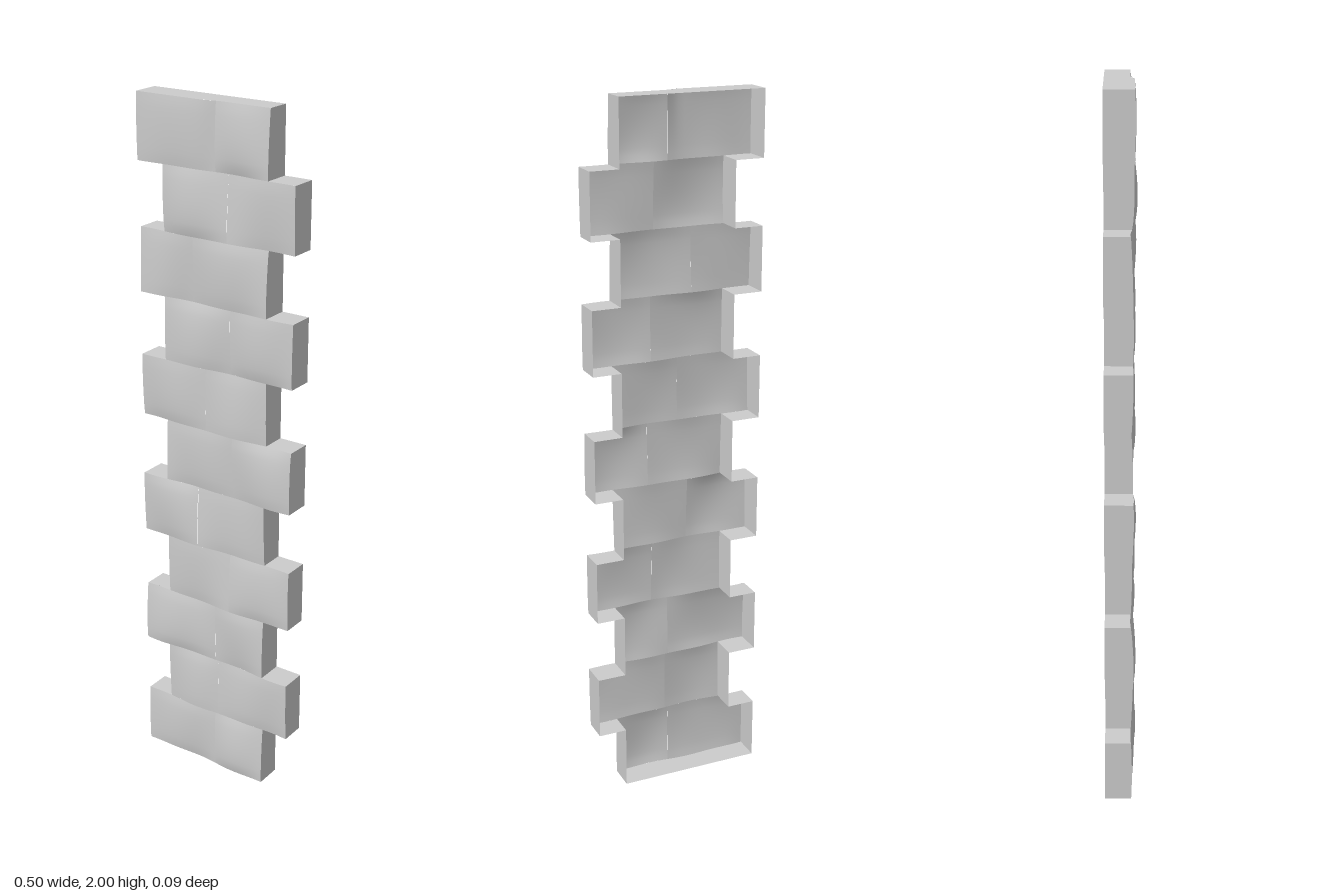
import * as THREE from 'three';

const ROWS = 11, H = 2 / ROWS;
const LONG = 0.248, SHORT = 0.166, BACK = -0.046;
// x of the joint between the two stones of each course, bottom to top
const JOINTS = [0, 0.01, 0.0, 0.05, -0.06, 0.06, -0.03, 0.05, -0.07, 0.04, 0];

const material = new THREE.MeshStandardMaterial({ color: 0xcccccc, side: THREE.DoubleSide });

// Height of the seam under course i, shared by both neighbouring courses
function seam(x, i) {
  if (i === ROWS) return 0.034 - 0.011 * THREE.MathUtils.smoothstep(x, -0.03, 0);
  return 0.029 + 0.004 * Math.sin(x * 14 + i * 2.3) + 0.002 * Math.sin(x * 33 + i * 4.1);
}

// Pillowed stone face between x0 and x1 in course i
function makeFace(x0, x1, i, k) {
  const g = new THREE.PlaneGeometry(1, 1, 14, 10);
  const p = g.attributes.position;
  const swell = 0.007 + 0.003 * Math.sin(i * 3.7 + k * 2.1);
  const tilt = 0.5 * Math.sin(i * 1.9 + k * 4.3);
  for (let n = 0; n < p.count; n++) {
    const u = p.getX(n) + 0.5, v = p.getY(n) + 0.5;
    const x = x0 + (x1 - x0) * u;
    const base = seam(x, i) * (1 - v) + seam(x, i + 1) * v;
    const bulge = Math.pow(4 * v * (1 - v), 0.7) * (0.35 + 0.65 * Math.sin(Math.PI * u));
    const z = base + swell * bulge * (1 + tilt * (u - 0.5) + tilt * (v - 0.5));
    p.setXYZ(n, x, (i + v) * H, Math.min(z, 0.042));
  }
  g.computeVertexNormals();
  return g;
}

// Wall from a line of front points back to the open rear plane
function makeWall(points) {
  const pos = [], index = [];
  points.forEach((q, n) => {
    pos.push(q.x, q.y, q.z, q.x, q.y, BACK);
    if (n) {
      const a = 2 * n - 2;
      index.push(a + 1, a + 3, a + 2, a + 1, a + 2, a);
    }
  });
  const g = new THREE.BufferGeometry();
  g.setAttribute('position', new THREE.Float32BufferAttribute(pos, 3));
  g.setIndex(index);
  g.computeVertexNormals();
  return g;
}

// Points of a seam, running from x0 to x1
function seamPoints(x0, x1, i) {
  return Array.from({ length: 15 }, (_, n) => {
    const x = x0 + (x1 - x0) * n / 14;
    return new THREE.Vector3(x, i * H, seam(x, i));
  });
}

// Points of one end edge of a face: column 0 or 14, from top to bottom
function edgePoints(face, column) {
  return Array.from({ length: 11 }, (_, r) =>
    new THREE.Vector3().fromBufferAttribute(face.attributes.position, r * 15 + column));
}

export function createModel() {
  const model = new THREE.Group();
  model.name = 'quoinStrip';

  for (let i = 0; i < ROWS; i++) {
    const course = new THREE.Group();
    course.name = `course${i + 1}`;
    model.add(course);
    const add = (geometry, name) => {
      const mesh = new THREE.Mesh(geometry, material);
      mesh.name = name;
      course.add(mesh);
    };

    // Courses alternate their long end between -x and +x
    const even = i % 2 === 0;
    const x0 = even ? -LONG : -SHORT, x1 = even ? SHORT : LONG;

    // Two stone faces
    const rightFace = makeFace(x0, JOINTS[i], i, 0);
    const leftFace = makeFace(JOINTS[i], x1, i, 1);
    add(rightFace, 'rightStoneFace');
    add(leftFace, 'leftStoneFace');

    // End walls
    add(makeWall(edgePoints(rightFace, 0)), 'rightEndWall');
    add(makeWall(edgePoints(leftFace, 14).reverse()), 'leftEndWall');

    // Ledges below and above the projecting end; full walls at top and bottom
    const e0 = even ? -LONG : SHORT, e1 = even ? -SHORT : LONG;
    const [b0, b1] = i === 0 ? [x0, x1] : [e0, e1];
    const [t0, t1] = i === ROWS - 1 ? [x0, x1] : [e0, e1];
    add(makeWall(seamPoints(b0, b1, i)), 'lowerLedge');
    add(makeWall(seamPoints(t1, t0, i + 1)), 'upperLedge');
  }
  return model;
}
